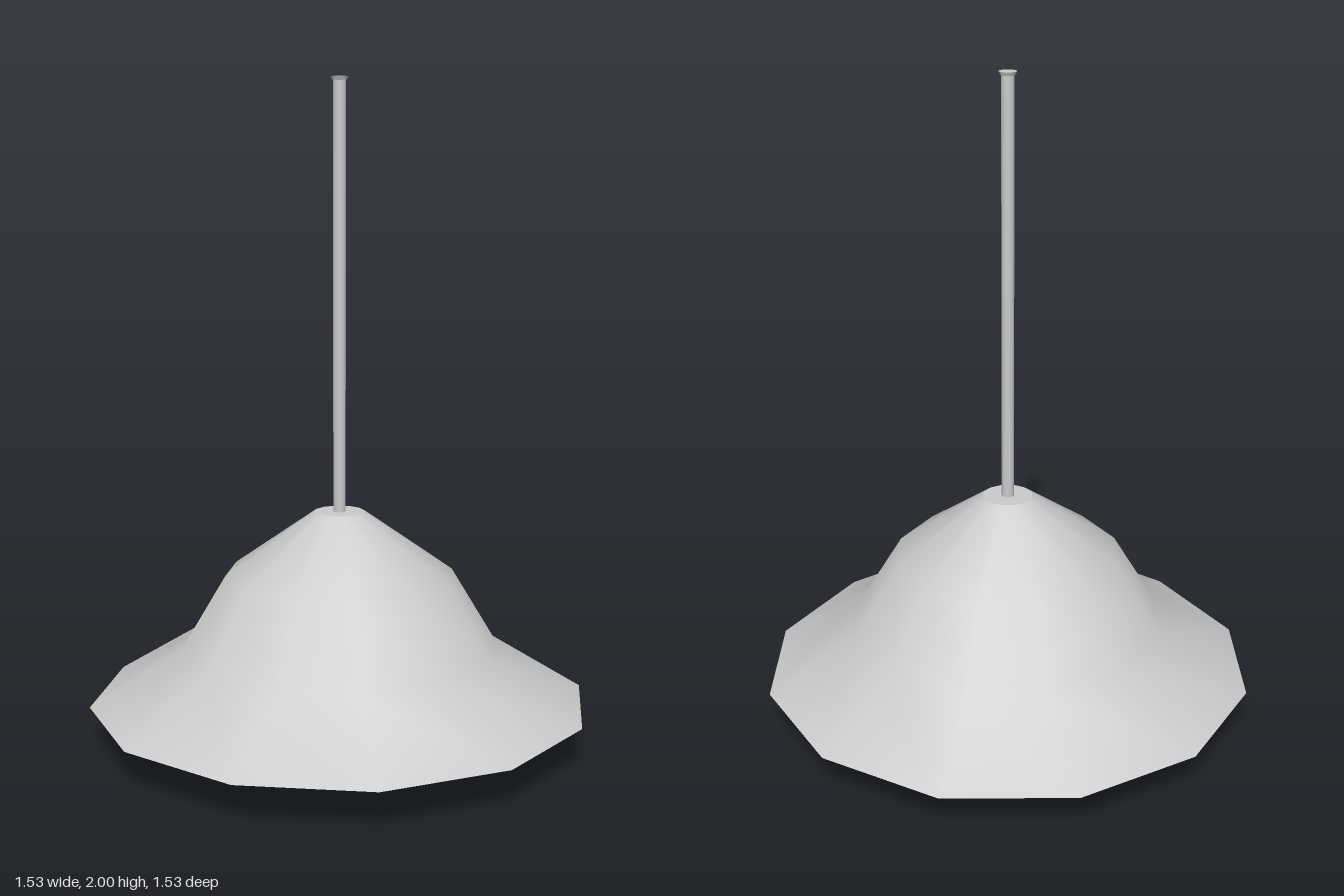
import * as THREE from 'three';

const SIDES = 12;

export function createModel() {
  const model = new THREE.Group();
  const grey = new THREE.MeshStandardMaterial({ color: 0xcccccc });
  const faceted = new THREE.MeshStandardMaterial({ color: 0xcccccc, flatShading: true });

  const add = (parent, name, geometry, material = grey, y = 0) => {
    const mesh = new THREE.Mesh(geometry, material);
    mesh.name = name;
    mesh.position.y = y;
    parent.add(mesh);
    return mesh;
  };
  const lathe = (points) =>
    new THREE.LatheGeometry(points.map(([r, y]) => new THREE.Vector2(r, y)), SIDES);

  // Bell-shaped shade: separate skins keep the rim and top edges sharp
  const shade = new THREE.Group();
  shade.name = 'shade';
  model.add(shade);
  const outer = [[0.765, 0.118], [0.483, 0.292], [0.35, 0.513], [0.077, 0.705]];
  const inner = [[0.06, 0.68], [0.33, 0.495], [0.457, 0.27], [0.73, 0.108]];
  add(shade, 'shadeOuter', lathe(outer));
  add(shade, 'shadeInner', lathe(inner));
  add(shade, 'shadeRim', lathe([inner[3], outer[0]]));
  add(shade, 'shadeTop', lathe([outer[3], [0, outer[3][1]]]));
  add(shade, 'shadeCeiling', lathe([[0, inner[0][1]], inner[0]]));

  // Round faceted bulb
  add(model, 'bulb', new THREE.SphereGeometry(0.227, SIDES, 8), faceted, 0.227);

  // Hanging rod, running down through the shade to the bulb
  const rodBottom = 0.44, rodTop = 1.992;
  add(model, 'rod', new THREE.CylinderGeometry(0.019, 0.019, rodTop - rodBottom, 16),
    grey, (rodBottom + rodTop) / 2);

  // Small ceiling cap
  add(model, 'ceilingCap', new THREE.CylinderGeometry(0.026, 0.022, 0.01, 16), grey, 1.995);

  return model;
}
